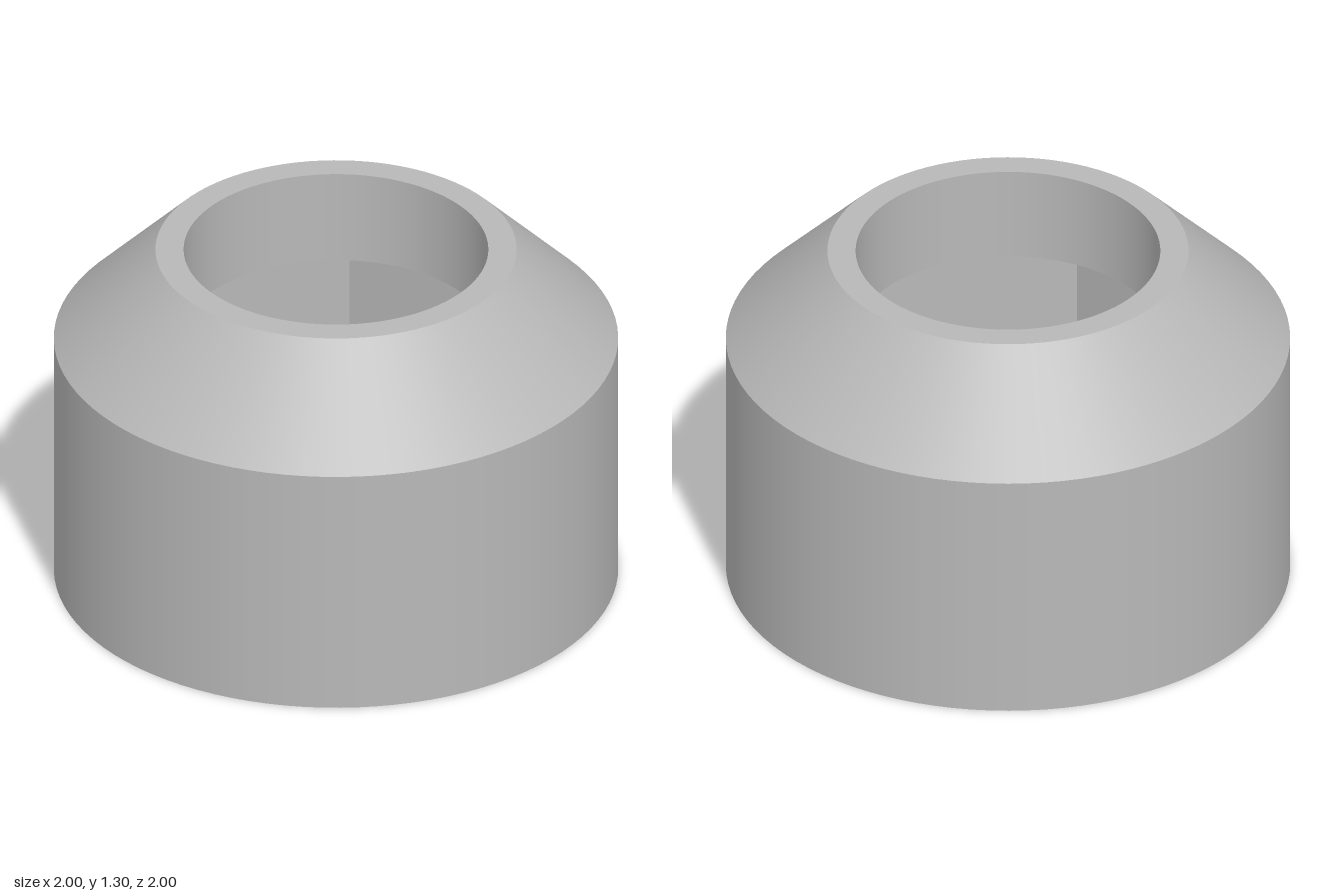
import * as THREE from 'three';

const SEGMENTS = 96;
const HEIGHT = 1.3, SHOULDER = 0.94, CEILING = 0.95, FLOOR = 0.155;
const OUTER = 1, RIM = 0.64, TOP_BORE = 0.54, BOTTOM_BORE = 0.4, HEX = 0.955;

export function createModel() {
  const group = new THREE.Group();
  const grey = new THREE.MeshStandardMaterial({ color: 0xb8b8b8 });
  grey.name = 'plain grey';

  const add = (name, geometry) => {
    const mesh = new THREE.Mesh(geometry, grey);
    mesh.name = name;
    group.add(mesh);
  };

  // One band of revolution between two (radius, height) points; separate bands keep edges sharp
  const band = (name, r0, y0, r1, y1) =>
    add(name, new THREE.LatheGeometry([new THREE.Vector2(r0, y0), new THREE.Vector2(r1, y1)], SEGMENTS));

  // Outer shell and the two round bores
  band('bottomFace', BOTTOM_BORE, 0, OUTER, 0);
  band('outerWall', OUTER, 0, OUTER, SHOULDER);
  band('chamfer', OUTER, SHOULDER, RIM, HEIGHT);
  band('topRim', RIM, HEIGHT, TOP_BORE, HEIGHT);
  band('topBore', TOP_BORE, HEIGHT, TOP_BORE, CEILING);
  band('bottomBore', BOTTOM_BORE, FLOOR, BOTTOM_BORE, 0);

  // Six-sided pocket between the bores, corners on the x axis
  const walls = new THREE.LatheGeometry(
    [new THREE.Vector2(HEX, CEILING), new THREE.Vector2(HEX, FLOOR)], 6, Math.PI / 6).toNonIndexed();
  walls.computeVertexNormals();
  add('hexPocketWalls', walls);

  // Flat hexagon with a round hole, facing up or down
  const hexPlate = (name, hole, y, facing) => {
    const corners = Array.from({ length: 6 }, (_, i) =>
      new THREE.Vector2(HEX * Math.cos(i * Math.PI / 3), HEX * Math.sin(i * Math.PI / 3)));
    const shape = new THREE.Shape(corners);
    shape.holes.push(new THREE.Path().absarc(0, 0, hole, 0, Math.PI * 2, true));
    add(name, new THREE.ShapeGeometry(shape, SEGMENTS).rotateX(-facing * Math.PI / 2).translate(0, y, 0));
  };
  hexPlate('hexPocketFloor', BOTTOM_BORE, FLOOR, 1);
  hexPlate('hexPocketCeiling', TOP_BORE, CEILING, -1);

  return group;
}
